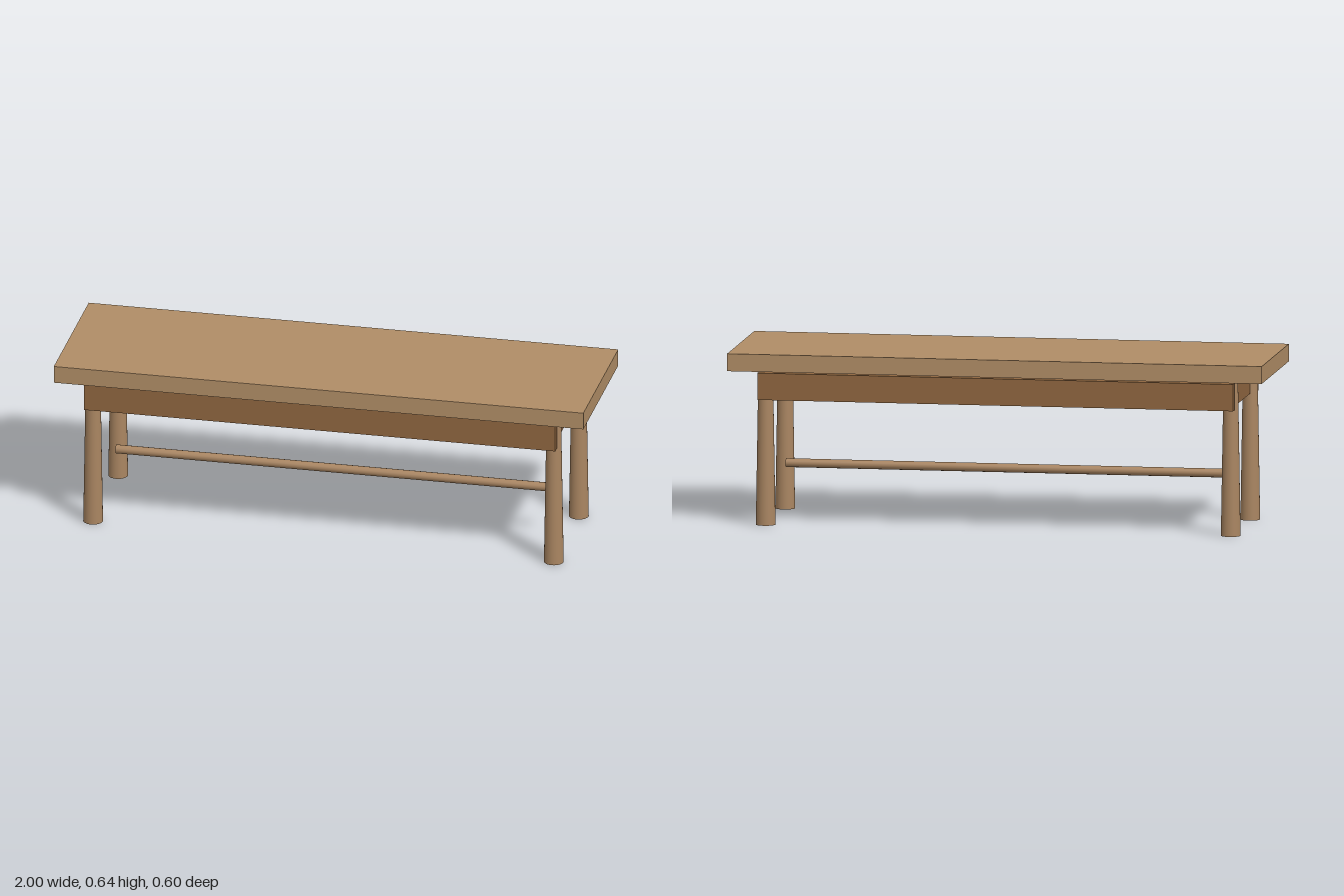
import * as THREE from 'three';

export function createModel() {
  const group = new THREE.Group();
  const topWood = new THREE.MeshStandardMaterial({ color: 0xb08d66 });
  const legWood = new THREE.MeshStandardMaterial({ color: 0xa98561 });
  const apronWood = new THREE.MeshStandardMaterial({ color: 0x8f6640 });

  function add(name, geometry, material, x, y, z) {
    const mesh = new THREE.Mesh(geometry, material);
    mesh.name = name;
    mesh.position.set(x, y, z);
    group.add(mesh);
    return mesh;
  }

  // Plank top
  add('tabletop', new THREE.BoxGeometry(2, 0.065, 0.6), topWood, 0, 0.6125, 0);

  // Long aprons outside the legs, short aprons between the legs
  const longApron = new THREE.BoxGeometry(1.78, 0.1, 0.034);
  const endApron = new THREE.BoxGeometry(0.034, 0.1, 0.416);
  // Round legs, wider at the foot
  const leg = new THREE.CylinderGeometry(0.027, 0.0365, 0.58, 24);

  for (const s of [1, -1]) {
    add(s > 0 ? 'frontApron' : 'backApron', longApron, apronWood, 0, 0.523, s * 0.265);
    add(s > 0 ? 'leftApron' : 'rightApron', endApron, apronWood, s * 0.857, 0.523, 0);
    for (const x of [0.87, -0.87]) {
      const name = (s > 0 ? 'front' : 'back') + (x > 0 ? 'Left' : 'Right') + 'Leg';
      add(name, leg, legWood, x, 0.29, s * 0.215);
    }
  }

  // Round stretcher bar along the middle
  const bar = new THREE.CylinderGeometry(0.0165, 0.0165, 1.66, 12);
  add('stretcher', bar, legWood, 0, 0.201, 0).rotation.z = Math.PI / 2;

  return group;
}
